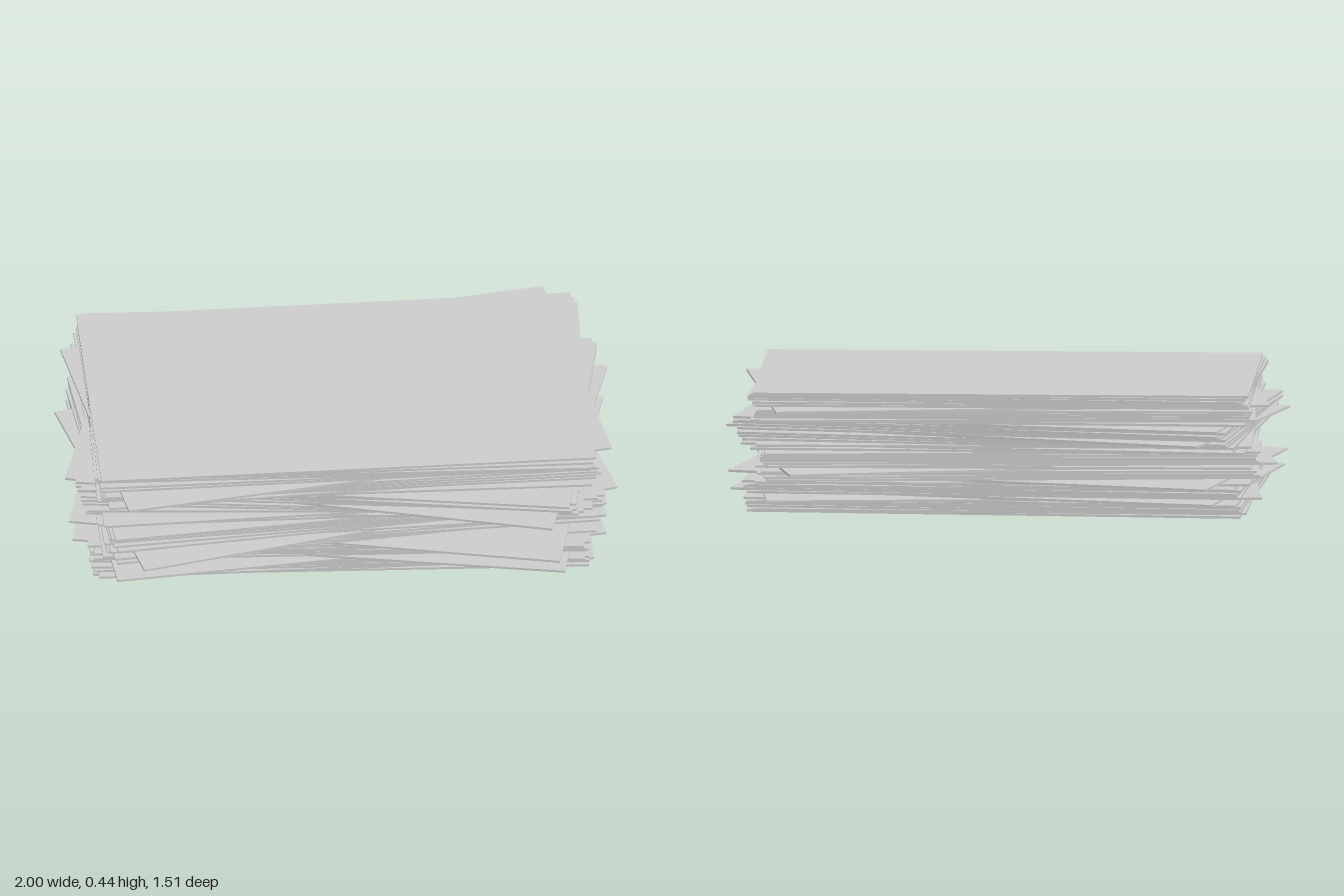
import * as THREE from 'three';

// Loose stack of thin rectangular sheets, each twisted about the vertical axis
const WIDTH = 1.773, DEPTH = 1.066, HEIGHT = 0.437;

// Twist of each sheet in degrees, bottom to top
const TWISTS = [
  0.3, 2.4, 0.5, -0.3, 0.6, -1.2, 8.3, -8.3, 0.4, -0.8, -1, 0.8, -1.8,
  3.8, -10, 8.5, 7.5, 5, 6.2, 15.9, 4.2, 8.6, 7.2, 6, 5.8, 6.5,
  7.8, 1.8, -2.5, 4.2, -1.8, -3.8, -4.5, -12.3, -4.4, -6, -7, -4.6, -7,
  1.8, 5.8, 3.2, 3.6, 4, 4.6, 11.6, 3.4, 2.8, 1, 0.7, 2, 3.2,
];

export function createModel() {
  const stack = new THREE.Group();
  stack.name = 'sheetStack';
  const material = new THREE.MeshStandardMaterial({ color: 0xcccccc });
  const thickness = HEIGHT / TWISTS.length;
  const geometry = new THREE.BoxGeometry(WIDTH, thickness, DEPTH);

  TWISTS.forEach((degrees, i) => {
    const sheet = new THREE.Mesh(geometry, material);
    sheet.name = `sheet${i + 1}`;
    sheet.position.y = (i + 0.5) * thickness;
    sheet.rotation.y = THREE.MathUtils.degToRad(degrees);
    stack.add(sheet);
  });
  return stack;
}
